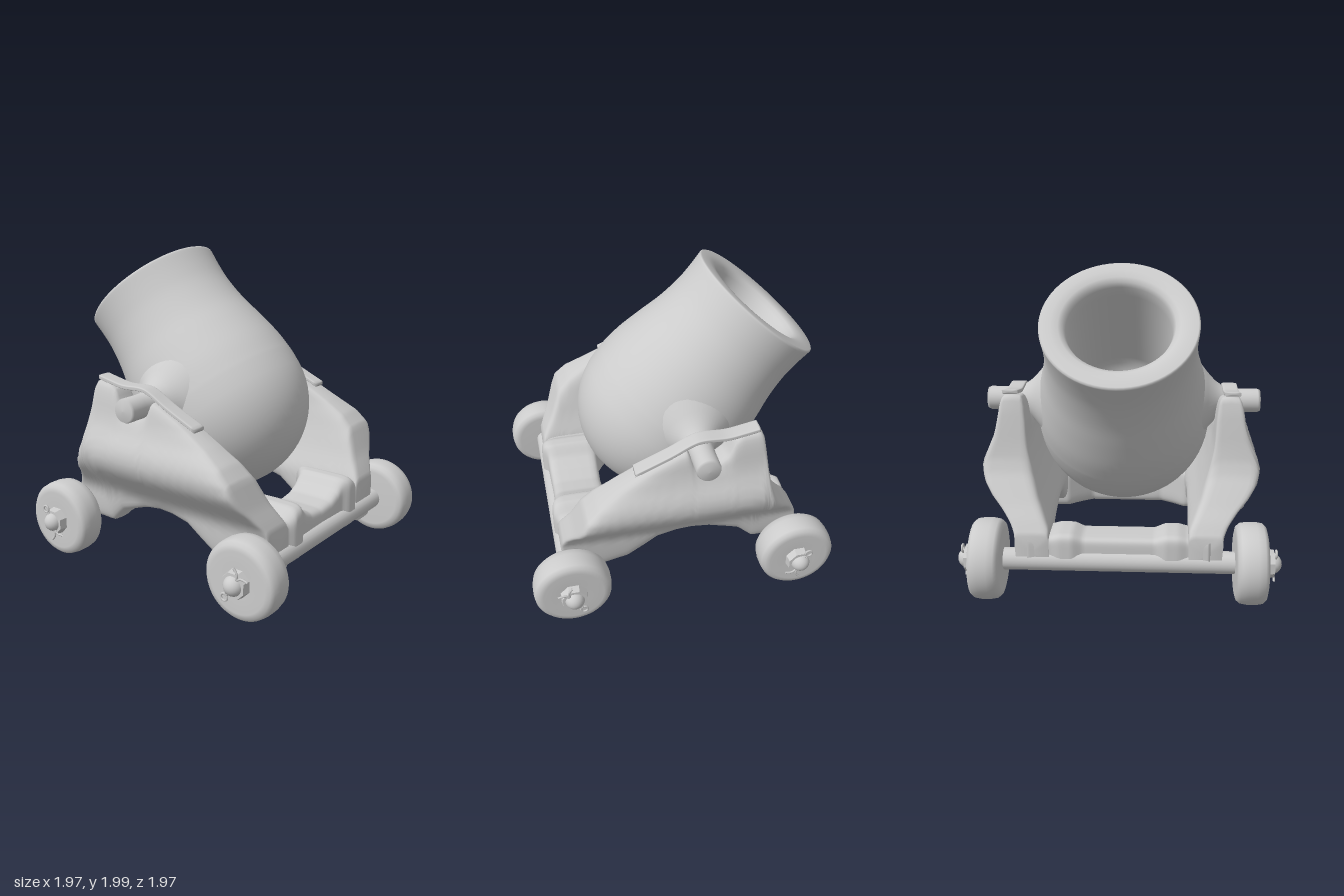
import * as THREE from 'three';

const material = new THREE.MeshStandardMaterial({ color: 0xcccccc, side: THREE.DoubleSide });

function add(parent, name, geometry) {
  const mesh = new THREE.Mesh(geometry, material);
  mesh.name = name;
  parent.add(mesh);
  return mesh;
}

// Linear lookup in a short list of [input, output] pairs
function at(table, t) {
  if (t <= table[0][0]) return table[0][1];
  for (let i = 1; i < table.length; i++) {
    const [a, p] = table[i - 1], [b, q] = table[i];
    if (t <= b) return p + (q - p) * (t - a) / (b - a);
  }
  return table[table.length - 1][1];
}

// Unit rounded-square loop, u and v from -1 to 1
const LOOP = [];
for (let i = 0; i < 48; i++) {
  const a = (i / 48) * Math.PI * 2;
  const v = Math.sin(a);
  LOOP.push([Math.sign(Math.cos(a)) * Math.pow(Math.max(0, 1 - Math.pow(Math.abs(v), 6)), 1 / 6), v]);
}

// Skin of rounded-square cross-sections; point(s, u, v) places each corner
function loft(from, to, steps, point) {
  const pos = [], idx = [], n = LOOP.length;
  for (let i = 0; i <= steps; i++) {
    const s = from + (to - from) * i / steps;
    for (const [u, v] of LOOP) pos.push(...point(s, u, v));
  }
  for (let i = 0; i < steps; i++) {
    for (let j = 0; j < n; j++) {
      const a = i * n + j, b = i * n + (j + 1) % n;
      idx.push(a, b, b + n, a, b + n, a + n);
    }
  }
  // End caps
  pos.push(...point(from, 0, 0), ...point(to, 0, 0));
  const c = (steps + 1) * n, last = steps * n;
  for (let j = 0; j < n; j++) {
    const k = (j + 1) % n;
    idx.push(c, k, j, c + 1, last + j, last + k);
  }
  // Turn faces outward, judged by the enclosed volume
  const P = (i) => new THREE.Vector3().fromArray(pos, i * 3);
  let volume = 0;
  for (let i = 0; i < idx.length; i += 3) volume += P(idx[i]).dot(P(idx[i + 1]).cross(P(idx[i + 2])));
  if (volume < 0) idx.reverse();
  const g = new THREE.BufferGeometry();
  g.setAttribute('position', new THREE.Float32BufferAttribute(pos, 3));
  g.setIndex(idx);
  g.computeVertexNormals();
  return g;
}

const mix = (a, b, w) => a + (b - a) * (w + 1) / 2;

// Turned part lying along x, from [radius, x] pairs
function turned(points, side, segments = 40) {
  const g = new THREE.LatheGeometry(points.map(([r, h]) => new THREE.Vector2(r, h)), segments);
  return g.rotateZ(-side * Math.PI / 2);
}

function makeBarrel() {
  const barrel = new THREE.Group();
  barrel.name = 'barrel';
  const pts = [];
  for (let i = 0; i <= 16; i++) {
    const a = (i / 16) * Math.PI / 2;
    pts.push(new THREE.Vector2(0.56 * Math.sin(a), -0.56 * Math.cos(a)));
  }
  const neck = new THREE.SplineCurve([[0.562, 0.05], [0.55, 0.2], [0.515, 0.38], [0.48, 0.54],
    [0.461, 0.7], [0.461, 0.82], [0.468, 0.925]].map((p) => new THREE.Vector2(...p)));
  pts.push(...neck.getPoints(24));
  // Muzzle lip and bore
  for (const p of [[0.468, 0.937], [0.458, 0.944], [0.4, 0.944], [0.355, 0.938], [0.328, 0.92],
    [0.315, 0.89], [0.31, 0.82], [0.31, 0.2]]) pts.push(new THREE.Vector2(...p));
  for (let i = 1; i <= 8; i++) {
    const a = (i / 8) * Math.PI / 2;
    pts.push(new THREE.Vector2(0.31 * Math.cos(a), 0.2 - 0.25 * Math.sin(a)));
  }
  const body = add(barrel, 'barrelBody', new THREE.LatheGeometry(pts, 72));
  body.position.set(0, 0.98, -0.01);
  body.rotation.x = -0.71;
  for (const side of [1, -1]) {
    const trunnion = add(barrel, 'trunnion', turned([[0.32, 0.42], [0.25, 0.49], [0.185, 0.54], [0.13, 0.59],
      [0.095, 0.64], [0.077, 0.69], [0.075, 0.76], [0.076, 0.865], [0.068, 0.882], [0, 0.887]], side));
    trunnion.position.set(0, 1.1, -0.1);
  }
  return barrel;
}

// Cheek outlines: top and bottom height along z, outer and inner x by height
const TOP = [[-0.78, 0.42], [-0.73, 0.5], [-0.67, 0.58], [-0.56, 0.75], [-0.525, 0.85], [-0.485, 1.17], [-0.46, 1.215],
  [-0.34, 1.2], [-0.3, 1.17], [-0.26, 1.08], [-0.21, 1.04], [-0.1, 1.03], [-0.04, 1.06], [-0.01, 1.14],
  [0.05, 1.12], [0.2, 1.05], [0.42, 0.93], [0.55, 0.85], [0.63, 0.77], [0.7, 0.6], [0.75, 0.51], [0.78, 0.45]];
const BOTTOM = [[-0.78, 0.22], [-0.5, 0.2], [-0.46, 0.24], [-0.4, 0.3], [-0.2, 0.37], [-0.08, 0.385], [0.03, 0.375],
  [0.15, 0.345], [0.25, 0.27], [0.35, 0.2], [0.5, 0.165], [0.78, 0.17]];
const OUTER = [[0.15, 0.61], [0.42, 0.63], [0.48, 0.66], [0.55, 0.72], [0.62, 0.79], [0.69, 0.84], [0.77, 0.857],
  [0.84, 0.84], [0.92, 0.795], [1.0, 0.77], [1.22, 0.745]];
const INNER = [[0.15, 0.42], [0.45, 0.42], [0.6, 0.49], [0.75, 0.54], [0.9, 0.575], [1.22, 0.59]];

const STRAP = new THREE.SplineCurve([[0.31, 1.015], [0.1, 1.11], [-0.03, 1.18], [-0.11, 1.2], [-0.25, 1.195],
  [-0.36, 1.212], [-0.45, 1.23]].map((p) => new THREE.Vector2(...p)));

function makeCarriage() {
  const carriage = new THREE.Group();
  carriage.name = 'carriage';
  for (const side of [1, -1]) {
    add(carriage, 'cheek', loft(-0.78, 0.78, 104, (z, u, v) => {
      const y = mix(at(BOTTOM, z), at(TOP, z), v);
      return [side * mix(at(INNER, y), at(OUTER, y), u), y, z];
    }));
    // Strap holding the trunnion down
    add(carriage, 'trunnionStrap', loft(0, 1, 40, (s, u, v) => {
      const p = STRAP.getPoint(s);
      return [side * (0.682 + 0.048 * u), p.y + 0.014 * v, p.x];
    }));
  }
  // Front crossbeam, dipped under the barrel, with two raised bands
  const frontTop = [[0, 0.405], [0.12, 0.42], [0.2, 0.46], [0.26, 0.525], [0.34, 0.525], [0.4, 0.475], [0.55, 0.45]];
  const frontFace = [[0, 0.765], [0.24, 0.77], [0.29, 0.8], [0.37, 0.8], [0.42, 0.77], [0.55, 0.765]];
  const frontBack = [[0, 0.43], [0.25, 0.42], [0.42, 0.3], [0.55, 0.3]];
  add(carriage, 'frontCrossbeam', loft(-0.55, 0.55, 66, (x, u, v) => {
    const a = Math.abs(x);
    return [x, mix(0.165, at(frontTop, a), v), mix(at(frontBack, a), at(frontFace, a), u)];
  }));
  // Rear crossbeam
  const rearTop = [[0, 0.4], [0.22, 0.4], [0.28, 0.43], [0.36, 0.43], [0.42, 0.41], [0.55, 0.43]];
  const rearFace = [[0, -0.76], [0.22, -0.76], [0.28, -0.785], [0.36, -0.785], [0.42, -0.77], [0.55, -0.785]];
  add(carriage, 'rearCrossbeam', loft(-0.55, 0.55, 66, (x, u, v) => {
    const a = Math.abs(x);
    return [x, mix(0.19, at(rearTop, a), v), mix(at(rearFace, a), -0.52 + 0.1 * Math.max(0, a - 0.3), u)];
  }));
  return carriage;
}

// Split pin lying in the yz plane, loop at the +y end
function makePin() {
  const pin = new THREE.Group();
  pin.name = 'splitPin';
  const line = (points) => new THREE.TubeGeometry(
    new THREE.CatmullRomCurve3(points.map(([y, z]) => new THREE.Vector3(0, y, z))), 14, 0.007, 6);
  add(pin, 'pinLoop', new THREE.TorusGeometry(0.022, 0.007, 6, 16).rotateY(Math.PI / 2)).position.y = 0.095;
  for (const s of [1, -1]) add(pin, 'pinLeg', line([[0.075, s * 0.006], [-0.07, s * 0.006], [-0.09, s * 0.02], [-0.105, s * 0.055]]));
  return pin;
}

function makeAxle(name, z, pinAngle) {
  const axle = new THREE.Group();
  axle.name = name;
  axle.position.set(0, 0.25, z);
  add(axle, 'axleBar', new THREE.CylinderGeometry(0.068, 0.068, 1.76, 24).rotateZ(Math.PI / 2));
  for (const side of [1, -1]) {
    add(axle, 'wheel', turned([[0, 0.7], [0.19, 0.7], [0.222, 0.708], [0.24, 0.73], [0.247, 0.77], [0.247, 0.825],
      [0.24, 0.865], [0.222, 0.885], [0.19, 0.893], [0.1, 0.888], [0, 0.888]], side, 48));
    const nut = add(axle, 'hubNut', new THREE.CylinderGeometry(0.082, 0.09, 0.055, 8)
      .rotateY(Math.PI / 8).rotateZ(-side * Math.PI / 2).toNonIndexed());
    nut.geometry.computeVertexNormals();
    nut.position.x = side * 0.91;
    add(axle, 'axleCap', new THREE.SphereGeometry(0.062, 24, 16)).position.x = side * 0.923;
    const pin = makePin();
    pin.position.x = side * 0.943;
    pin.rotation.x = pinAngle;
    axle.add(pin);
  }
  return axle;
}

export function createModel() {
  const model = new THREE.Group();
  model.name = 'siegeMortar';
  model.add(makeBarrel(), makeCarriage(),
    makeAxle('frontAxle', 0.745, Math.PI + 0.59), makeAxle('rearAxle', -0.725, -0.5));
  return model;
}
